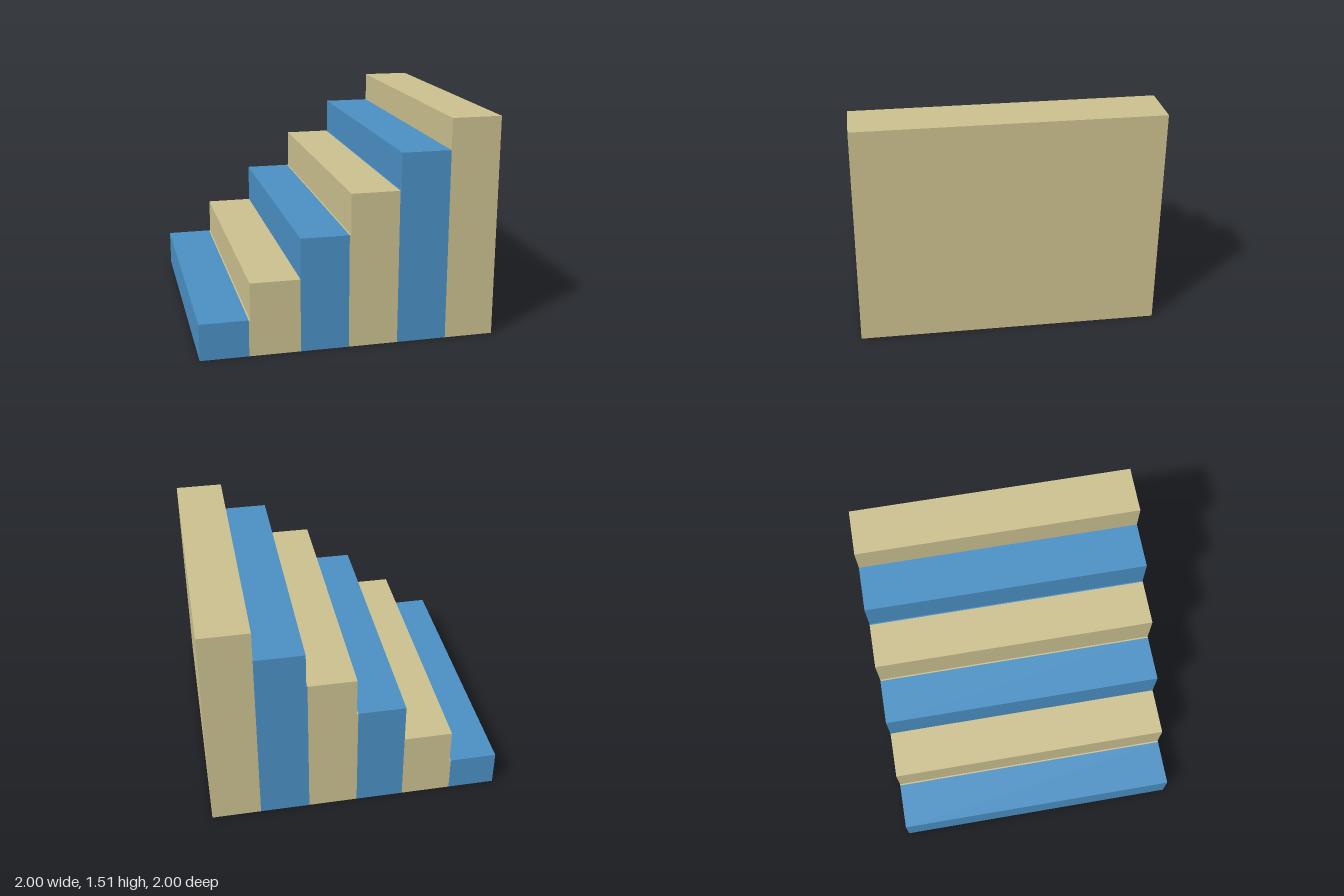
import * as THREE from 'three';

const DEPTH = 2;

export function createModel() {
  const group = new THREE.Group();
  group.name = 'staircase';

  const blue = new THREE.MeshStandardMaterial({ color: 0x4a90c4 });
  blue.name = 'blue';
  const sand = new THREE.MeshStandardMaterial({ color: 0xcbc08f });
  sand.name = 'sand';

  // Each step: riser position, foot position (just under the riser) and height
  const steps = [
    { riser: -1, foot: -1, height: 0.25 },
    { riser: -0.667, foot: -0.677, height: 0.5 },
    { riser: -0.335, foot: -0.335, height: 0.775 },
    { riser: 0, foot: -0.01, height: 1.05 },
    { riser: 0.333, foot: 0.325, height: 1.3 },
    { riser: 0.664, foot: 0.664, height: 1.51 },
  ];

  steps.forEach(({ riser, foot, height }, i) => {
    const end = i < steps.length - 1 ? steps[i + 1].foot : 1;
    const profile = new THREE.Shape();
    profile.moveTo(foot, 0);
    profile.lineTo(end, 0);
    profile.lineTo(end, height);
    profile.lineTo(riser, height);
    // Narrow lip of the foot lying flush with the tread below
    if (foot < riser) {
      profile.lineTo(riser, steps[i - 1].height);
      profile.lineTo(foot, steps[i - 1].height);
    }
    profile.closePath();

    const geometry = new THREE.ExtrudeGeometry(profile, { depth: DEPTH, bevelEnabled: false });
    geometry.translate(0, 0, -DEPTH / 2);
    const step = new THREE.Mesh(geometry, i % 2 ? sand : blue);
    step.name = `step${i + 1}`;
    group.add(step);
  });

  return group;
}
